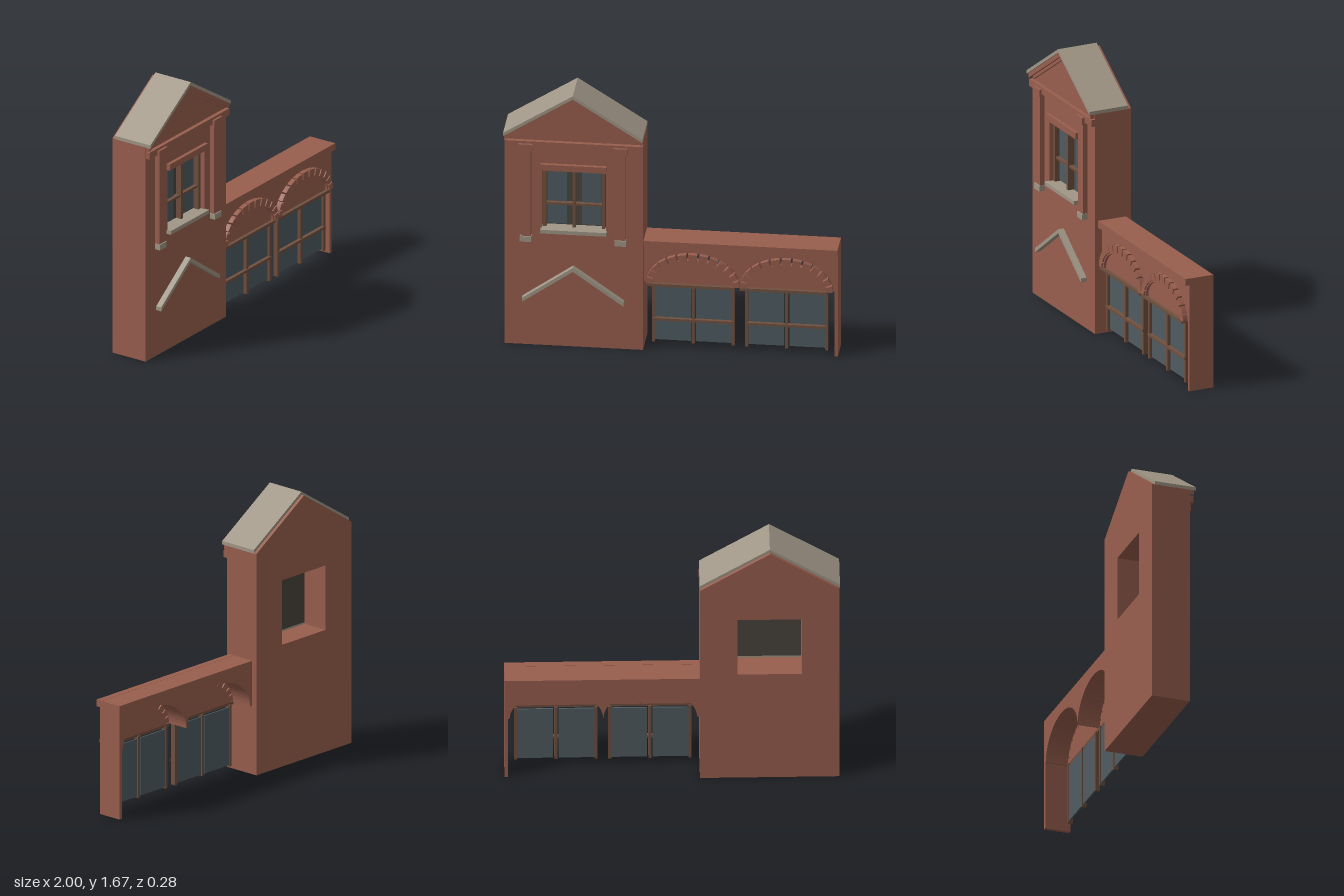
import * as THREE from 'three';

const mat = (name, color) => {
  const m = new THREE.MeshStandardMaterial({ color });
  m.name = name;
  return m;
};

export function createModel() {
  const brick = mat('brick', 0x985e4e);
  const stone = mat('stone', 0xa09686);
  const wood = mat('wood', 0x70503f);
  const glass = mat('glass', 0x4f5b61);
  const backing = mat('window backing', 0x4a453e);

  const root = new THREE.Group();
  root.name = 'gatehouse';

  const add = (name, geometry, material, parent = root) => {
    const m = new THREE.Mesh(geometry, material);
    m.name = name;
    parent.add(m);
    return m;
  };
  // box given by its limits
  const box = (name, material, x0, x1, y0, y1, z0, z1, parent) => {
    const g = new THREE.BoxGeometry(x1 - x0, y1 - y0, z1 - z0);
    g.translate((x0 + x1) / 2, (y0 + y1) / 2, (z0 + z1) / 2);
    return add(name, g, material, parent);
  };
  const shapeOf = (pts) => new THREE.Shape(pts.map(([x, y]) => new THREE.Vector2(x, y)));
  const slab = (name, material, shape, z0, z1, parent) => {
    const g = new THREE.ExtrudeGeometry(shape, { depth: z1 - z0, bevelEnabled: false });
    g.translate(0, 0, z0);
    return add(name, g, material, parent);
  };
  const group = (name) => {
    const g = new THREE.Group();
    g.name = name;
    root.add(g);
    return g;
  };

  // ---- Tower ----
  const cx = -0.582, L = -0.997, R = -0.165;
  const tower = group('tower');
  const wall = shapeOf([[L, 0], [R, 0], [R, 1.39], [cx, 1.655], [L, 1.39]]);
  const hole = [[-0.772, 0.765], [-0.772, 1.17], [-0.388, 1.17], [-0.388, 0.765]];
  wall.holes.push(new THREE.Path(hole.map(([x, y]) => new THREE.Vector2(x, y))));
  slab('towerWall', brick, wall, -0.14, 0.1, tower);

  // inverted V bands: half width, end and apex heights, vertical thickness
  const chevron = (name, material, w, yEnd, yTop, t, z0, z1) =>
    slab(name, material, shapeOf([[cx - w, yEnd - t], [cx, yTop - t], [cx + w, yEnd - t],
      [cx + w, yEnd], [cx, yTop], [cx - w, yEnd]]), z0, z1, tower);
  chevron('roof', stone, 0.418, 1.41, 1.675, 0.022, -0.12, 0.137);
  chevron('outerRakingCornice', brick, 0.413, 1.392, 1.654, 0.03, 0.09, 0.128);
  chevron('innerRakingCornice', brick, 0.38, 1.385, 1.626, 0.024, 0.09, 0.114);
  chevron('doorHood', stone, 0.305, 0.322, 0.537, 0.026, 0.09, 0.137);
  box('entablature', brick, L + 0.004, R + 0.002, 1.312, 1.356, 0.09, 0.125, tower);

  // pilasters
  for (const s of [-1, 1]) {
    const x = cx + s * 0.284;
    box('pilasterShaft', brick, x - 0.031, x + 0.031, 0.72, 1.31, 0.09, 0.13, tower);
    box('pilasterCapital', brick, x - 0.042, x + 0.042, 1.297, 1.341, 0.09, 0.14, tower);
    box('pilasterBase', stone, x - 0.034, x + 0.034, 0.695, 0.731, 0.09, 0.137, tower);
  }

  // tower window
  const win = group('towerWindow');
  box('windowLintel', brick, -0.778, -0.382, 1.165, 1.205, 0.05, 0.122, win);
  box('windowSill', stone, -0.778, -0.382, 0.752, 0.776, 0.03, 0.13, win);
  box('windowBacking', backing, -0.77, -0.39, 0.77, 1.17, 0.03, 0.037, win);
  for (const s of [-1, 1]) {
    const x = cx + s * 0.104;
    box('windowPane', glass, x - 0.058, x + 0.058, 0.785, 1.133, 0.037, 0.045, win);
  }
  for (const x of [-0.757, cx, -0.405])
    box('windowPost', wood, x - 0.01, x + 0.01, 0.776, 1.166, 0.037, 0.075, win);
  box('windowRail', wood, -0.767, -0.395, 0.918, 0.932, 0.037, 0.068, win);

  // ---- Arcade ----
  const arcade = group('arcade');
  const centers = [0.13, 0.69];
  const base = 0.43, rx = 0.278, ry = 0.204, steps = 32;
  const arc = (c, a, b, from, to, n) => Array.from({ length: n + 1 }, (_, i) => {
    const t = from + (to - from) * i / n;
    return [c + a * Math.cos(t), base + b * Math.sin(t)];
  });
  const outline = [[R, 0.712], [R, base]];
  for (const c of centers) outline.push(...arc(c, rx, ry, Math.PI, 0, steps));
  outline.push([0.978, base], [0.978, 0], [0.998, 0], [0.998, 0.712]);
  slab('arcadeWall', brick, shapeOf(outline), -0.105, 0.053, arcade);
  box('arcadeCornice', brick, R, 0.998, 0.67, 0.713, 0.04, 0.08, arcade);

  for (const c of centers) {
    const bay = group('archBay');
    // infill, thin inner rib and wedge stones of the arch
    slab('archInfill', brick, shapeOf(arc(c, 0.245, 0.157, 0, Math.PI, steps)), 0.03, 0.056, bay);
    slab('archRib', brick, shapeOf([...arc(c, 0.247, 0.163, 0, Math.PI, steps),
      ...arc(c, 0.236, 0.15, Math.PI, 0, steps)]), 0.03, 0.072, bay);
    const n = 13, gap = 0.022;
    for (let i = 0; i < n; i++) {
      const a = Math.PI * i / n + gap, b = Math.PI * (i + 1) / n - gap;
      slab('archStone', brick, shapeOf([...arc(c, rx + 0.002, ry + 0.002, a, b, 3),
        ...arc(c, 0.244, 0.16, b, a, 3)]), 0.035, 0.083, bay);
    }
    box('archLintel', wood, c - 0.278, c + 0.25, 0.414, 0.431, 0.03, 0.078, bay);

    // glazed doors
    for (const s of [-1, 1]) {
      const x = c + s * 0.124;
      box('doorPane', glass, x - 0.108, x + 0.108, 0.043, 0.405, 0.024, 0.033, bay);
    }
    for (const d of [-0.239, 0, 0.239])
      box('doorPost', wood, c + d - 0.009, c + d + 0.009, 0.034, 0.42, 0.02, 0.05, bay);
    box('doorRail', wood, c - 0.246, c + 0.246, 0.178, 0.194, 0.033, 0.056, bay);
  }
  return root;
}
